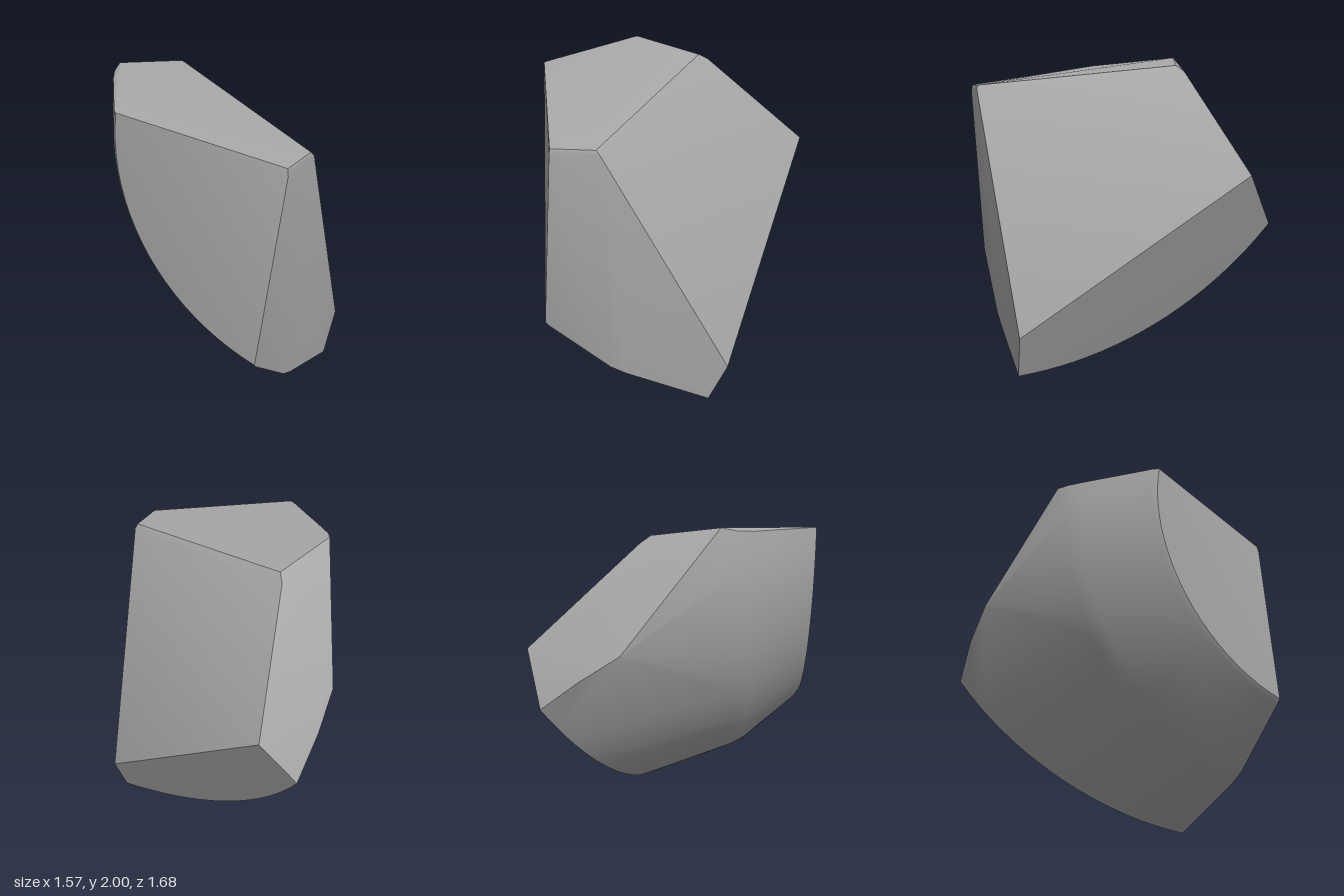
import * as THREE from 'three';
import { ConvexGeometry } from 'three/addons/geometries/ConvexGeometry.js';
import { toCreasedNormals } from 'three/addons/utils/BufferGeometryUtils.js';

// Axis that the curved rings of the fragment turn around (parallel to z)
const AXIS = { x: 0.95, y: 1.75 };

// Arc between two angles in degrees; radius runs from r0 to r1, z follows a rule
function arc(a0, a1, r0, r1, zAt, steps = 20) {
  const points = [];
  for (let i = 0; i <= steps; i++) {
    const t = i / steps;
    const a = THREE.MathUtils.degToRad(a0 + (a1 - a0) * t);
    const r = r0 + (r1 - r0) * t;
    const x = AXIS.x + r * Math.cos(a);
    const y = AXIS.y + r * Math.sin(a);
    points.push(new THREE.Vector3(x, y, zAt(x, y)));
  }
  return points;
}

export function createModel() {
  const group = new THREE.Group();
  const stone = new THREE.MeshStandardMaterial({ color: 0xa8a8a8 });
  stone.name = 'grey stone';

  // Flat cut corners: top, right side, back and left side
  const corners = [
    [-0.58, 2.0, 0.28], [-0.4, 1.93, -0.12], [-0.43, 1.89, -0.18],
    [0.755, 1.81, 0.7], [0.762, 1.77, 0.705], [0.77, 1.805, 0.46], [0.78, 1.78, 0.44],
    [0.71, 0.28, -0.27], [-0.53, 1.28, -0.845],
    [-0.79, 1.32, -0.26], [-0.775, 1.16, -0.5],
  ].map((p) => new THREE.Vector3(...p));

  // Curved rings: softened front rim, shoulder and tilted back rim
  const points = [
    ...corners,
    ...arc(169.6, 256.1, 1.15, 1.165, () => 0.84),
    ...arc(169.8, 256.3, 1.175, 1.19, () => 0.822),
    ...arc(171.3, 259.6, 1.46, 1.51, () => 0.46),
    ...arc(171.3, 260.0, 1.52, 1.56, () => 0.37),
    ...arc(204.9, 261.6, 1.85, 1.769, (x, y) => -0.23 + 0.11 * x - 0.44 * y),
  ];

  const geometry = toCreasedNormals(new ConvexGeometry(points), 0.5);
  const body = new THREE.Mesh(geometry, stone);
  body.name = 'stoneFragment';
  group.add(body);
  return group;
}
